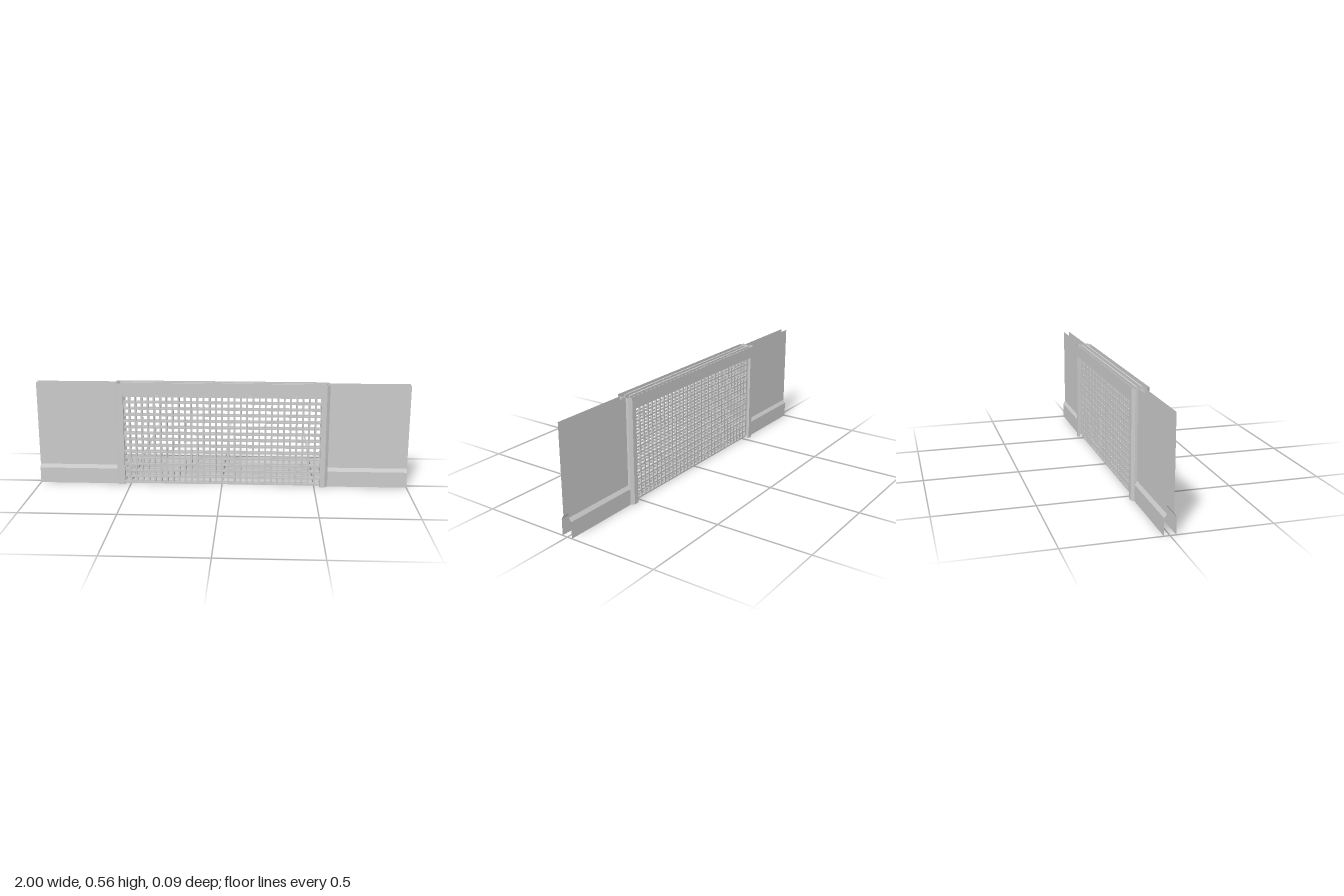
import * as THREE from 'three';
import { mergeGeometries } from 'three/addons/utils/BufferGeometryUtils.js';

const H = 0.563;       // overall height
const OPEN_X = 0.53;   // half width of the opening
const OPEN_Y = 0.5;    // top of the opening
const FACE_Z = 0.044;  // face of the door surround

const material = new THREE.MeshStandardMaterial({ color: 0xcccccc, flatShading: true, side: THREE.DoubleSide });

function mesh(name, geometry) {
  const m = new THREE.Mesh(geometry, material);
  m.name = name;
  return m;
}

// Open sheet swept between two copies of a path of [x, y, z] points
function sheet(path, offset) {
  const pos = [];
  for (let i = 0; i + 1 < path.length; i++) {
    const a = path[i], b = path[i + 1];
    const a2 = a.map((v, k) => v + offset[k]), b2 = b.map((v, k) => v + offset[k]);
    pos.push(...a, ...a2, ...b2, ...a, ...b2, ...b);
  }
  const g = new THREE.BufferGeometry();
  g.setAttribute('position', new THREE.Float32BufferAttribute(pos, 3));
  g.computeVertexNormals();
  return g;
}

// Wall panel with a projecting skirting and sloped ledge
function wallPanel(startX) {
  const profile = [[0, 0.029], [0.085, 0.029], [0.104, 0.017], [H, 0.017]];
  return mesh('sideWall', sheet(profile.map(([y, z]) => [startX, y, z]), [0.43, 0, 0]));
}

// Upright with bevelled outer corner, stepping in towards the centre line
function jamb(side) {
  const plan = [
    [0.557, FACE_Z], [0.573, 0.03], [0.573, 0.01], [0.56, 0.005], [0.56, 0]
  ];
  return mesh('jamb', sheet(plan.map(([x, z]) => [side * x, 0, z]), [0, H, 0]));
}

// Flat U-shaped front of the surround
function surroundFace() {
  const outline = [
    [-0.557, 0], [-OPEN_X, 0], [-OPEN_X, OPEN_Y], [OPEN_X, OPEN_Y],
    [OPEN_X, 0], [0.557, 0], [0.557, H], [-0.557, H]
  ];
  const shape = new THREE.Shape(outline.map(([x, y]) => new THREE.Vector2(x, y)));
  const g = new THREE.ShapeGeometry(shape);
  g.translate(0, 0, FACE_Z);
  return mesh('surroundFace', g);
}

// Short return around the inside of the opening
function reveal() {
  const path = [[-OPEN_X, 0], [-OPEN_X, OPEN_Y], [OPEN_X, OPEN_Y], [OPEN_X, 0]];
  return mesh('openingReveal', sheet(path.map(([x, y]) => [x, y, FACE_Z]), [0, 0, -0.014]));
}

// Grille of crossing square bars
function grille() {
  const bar = 0.009, half = 0.54, cols = 32, rows = 16, z = 0.014;
  const parts = [];
  for (let i = 0; i <= cols; i++) {
    const x = -half + bar / 2 + (i * (2 * half - bar)) / cols;
    parts.push(new THREE.BoxGeometry(bar, H, 0.008).translate(x, H / 2, z));
  }
  for (let j = 0; j <= rows; j++) {
    const y = bar / 2 + (j * (H - bar)) / rows;
    parts.push(new THREE.BoxGeometry(2 * half, bar, 0.0076).translate(0, y, z));
  }
  return mesh('grille', mergeGeometries(parts));
}

// One face of the gate
function gateSide(name) {
  const g = new THREE.Group();
  g.name = name;
  g.add(wallPanel(-1), wallPanel(0.57), jamb(-1), jamb(1), surroundFace(), reveal(), grille());
  return g;
}

export function createModel() {
  const model = new THREE.Group();
  model.name = 'shutteredGateway';
  const front = gateSide('frontSide');
  const back = gateSide('backSide');
  back.rotation.y = Math.PI;
  model.add(front, back);
  return model;
}
